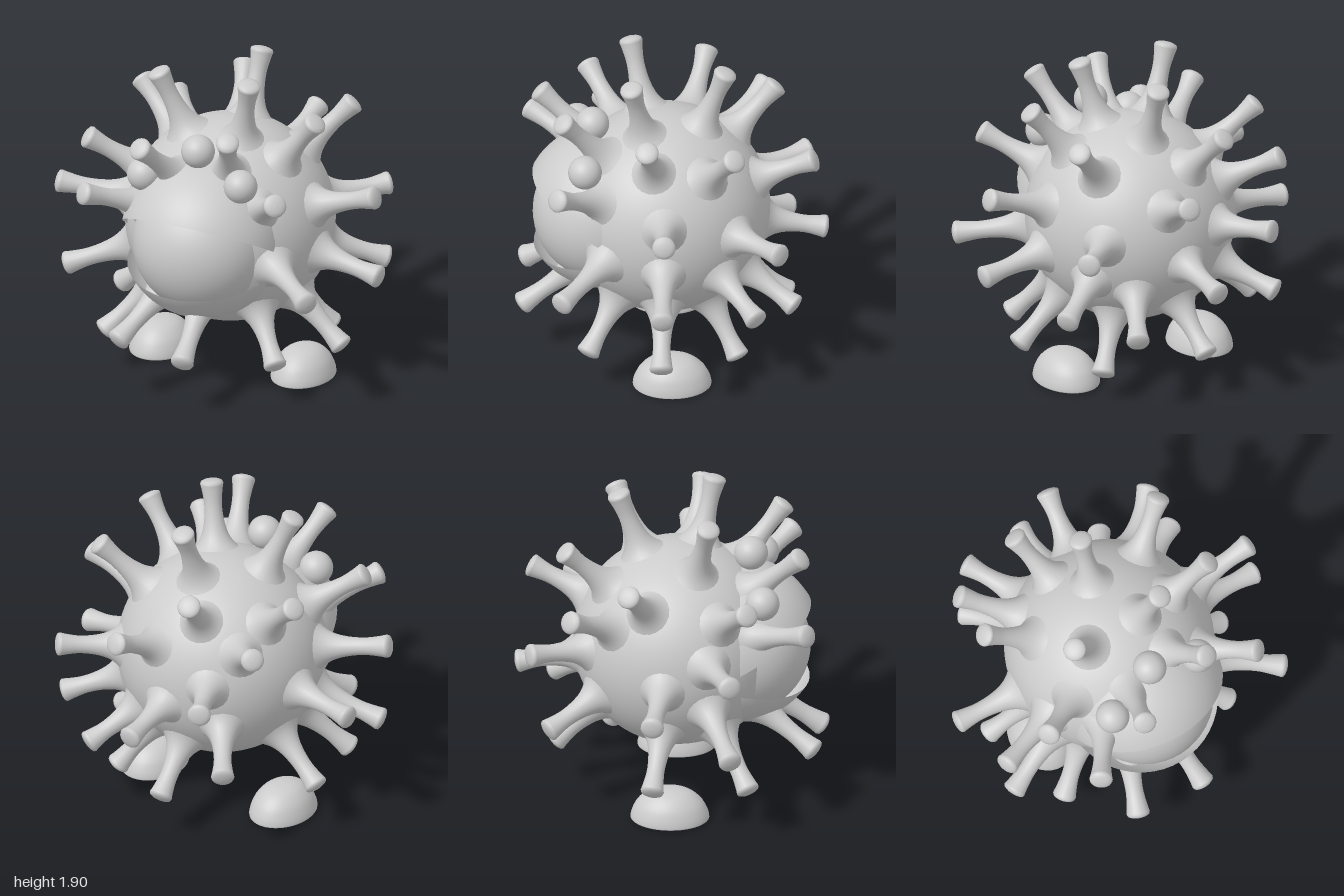
import * as THREE from 'three';

const material = new THREE.MeshStandardMaterial({ color: 0xcccccc });
const thinMaterial = new THREE.MeshStandardMaterial({ color: 0xcccccc, side: THREE.DoubleSide });
const CENTER = new THREE.Vector3(0, 0.932, 0.04);
const BODY_RADIUS = 0.61;

// Centres of the spike tips, grouped by the region of the body they grow from
const SPIKE_TIPS = [
  // crown
  [-0.37, 1.84, 0.23], [0.22, 1.87, 0.24], [0.03, 1.85, -0.31],
  [0.28, 1.68, 0.64], [-0.23, 1.59, 0.76], [0.61, 1.68, 0.16],
  [0.6, 1.61, -0.35], [-0.23, 1.6, -0.61], [-0.7, 1.56, -0.22], [-0.71, 1.46, 0.47],
  // left side
  [0.61, 1.36, 0.68], [0.95, 1.24, 0.07], [0.98, 0.75, 0.08], [0.8, 0.77, 0.66],
  [0.7, 1.02, -0.61], [0.76, 0.62, -0.47],
  // right side
  [-0.57, 1.26, 0.81], [-0.94, 1.1, 0.38], [-0.98, 0.85, -0.07], [-0.89, 0.59, 0.38],
  [-0.65, 1.36, -0.56],
  // back
  [0.14, 1.32, -0.82], [-0.44, 1.03, -0.8], [-0.01, 0.77, -0.89],
  [-0.53, 0.59, -0.69], [0.42, 0.5, -0.7],
  // underside
  [0.74, 0.27, 0.08], [0.52, 0.26, 0.5], [0.45, 0.18, -0.37], [0.1, 0.34, 0.87],
  [-0.33, 0.39, 0.84], [-0.6, 0.26, 0.47], [-0.76, 0.32, -0.08], [-0.07, 0.29, -0.67],
];

function addMesh(parent, name, geometry, position, mat = material) {
  const mesh = new THREE.Mesh(geometry, mat);
  mesh.name = name;
  mesh.position.set(...position);
  parent.add(mesh);
  return mesh;
}

// Stem with a small fillet where it leaves the body and a flared, domed tip
function spikeGeometry(length) {
  const start = BODY_RADIUS - 0.045;
  const span = length - start;
  const stem = new THREE.SplineCurve([
    [0.165, 0], [0.112, 0.12], [0.078, 0.26], [0.058, 0.45], [0.051, 0.68], [0.06, 0.88], [0.068, 0.98],
  ].map(([r, t]) => new THREE.Vector2(r, start + t * span))).getPoints(20);
  const cap = [[0.063, 1.01], [0.046, 1.03], [0.024, 1.042], [0, 1.045]]
    .map(([r, t]) => new THREE.Vector2(r, start + t * span));
  return new THREE.LatheGeometry([...stem, ...cap], 20);
}

export function createModel() {
  const model = new THREE.Group();
  model.name = 'spikyCreature';

  // Round body
  addMesh(model, 'body', new THREE.SphereGeometry(BODY_RADIUS, 64, 40), CENTER.toArray());

  // Spikes radiating from the body
  const spikes = new THREE.Group();
  spikes.name = 'spikes';
  model.add(spikes);
  const up = new THREE.Vector3(0, 1, 0);
  for (const tip of SPIKE_TIPS) {
    const direction = new THREE.Vector3(...tip).sub(CENTER);
    const length = direction.length();
    const spike = addMesh(spikes, 'spike', spikeGeometry(length), CENTER.toArray());
    spike.quaternion.setFromUnitVectors(up, direction.normalize());
  }

  // Single large eye with an upper and a lower lid
  addMesh(model, 'eyeball', new THREE.SphereGeometry(0.405, 48, 32), [0, 0.91, 0.4]);
  const lid = (name, angle, opening) => {
    const geometry = new THREE.SphereGeometry(0.48, 48, 24, 0, Math.PI * 2, 0, opening);
    addMesh(model, name, geometry, [0, 0.94, 0.385], thinMaterial).rotation.x = angle;
  };
  lid('upperEyelid', -0.535, 1.61);
  lid('lowerEyelid', Math.PI + 0.24, 1.28);

  // Three balls above the eye
  for (const position of [[0, 1.5, 0.46], [-0.31, 1.33, 0.54], [0.3, 1.355, 0.51]]) {
    addMesh(model, 'browBall', new THREE.SphereGeometry(0.098, 28, 20), position);
  }

  // Low domed feet with softly rounded soles
  const footProfile = new THREE.SplineCurve([
    [0.8, 0], [0.97, 0.03], [1, 0.1], [0.95, 0.32], [0.82, 0.6], [0.58, 0.85], [0.3, 0.97], [0, 1],
  ].map(([r, y]) => new THREE.Vector2(r, y))).getPoints(28);
  footProfile.unshift(new THREE.Vector2(0, 0));
  for (const side of [-1, 1]) {
    const foot = addMesh(model, side > 0 ? 'leftFoot' : 'rightFoot',
      new THREE.LatheGeometry(footProfile, 36), [side * 0.457, 0, 0.01]);
    foot.scale.set(0.18, 0.19, 0.228);
  }
  return model;
}
